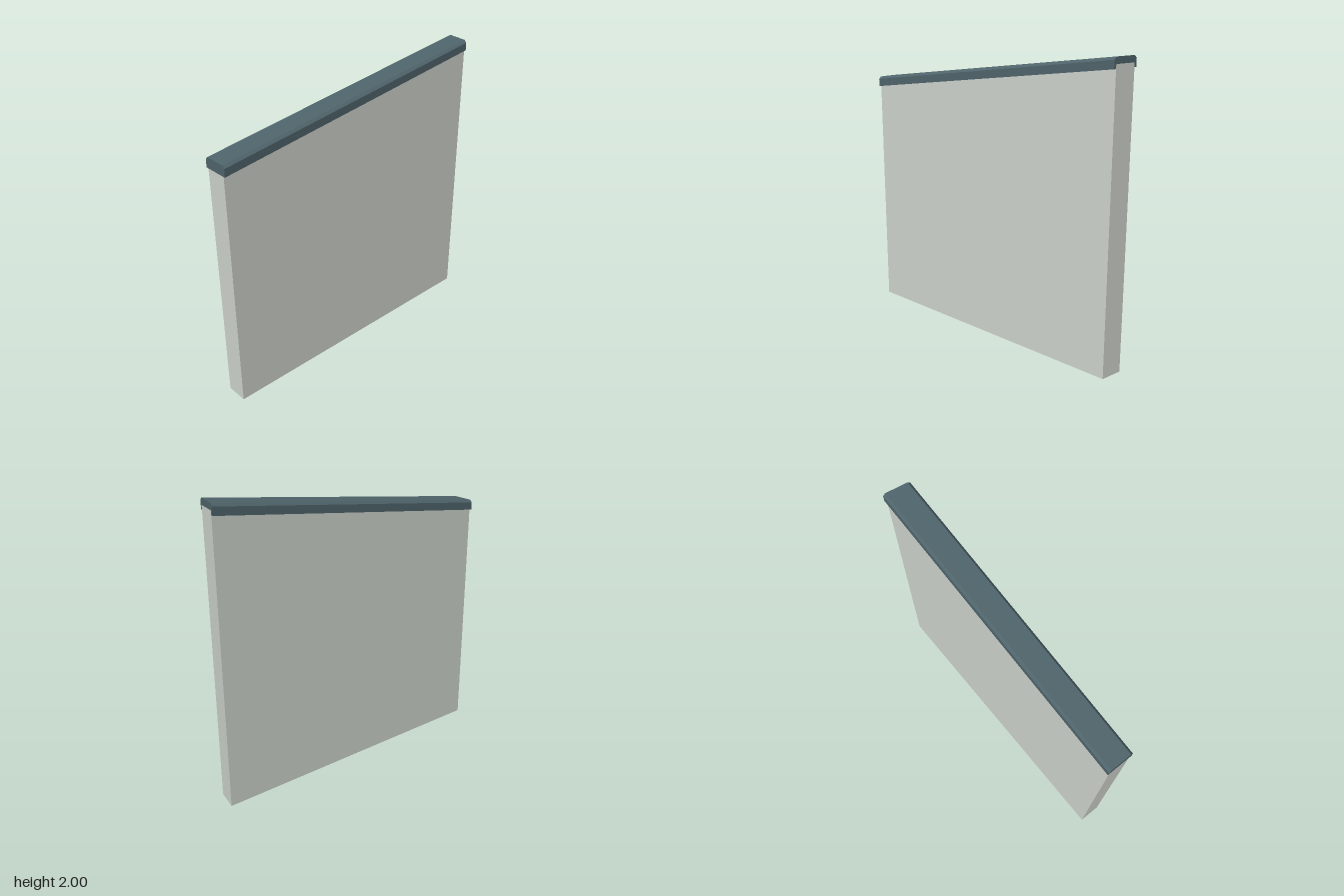
import * as THREE from 'three';

// Plan corners (x, z) of the coping: back end and front end, left edge to right edge
const BACK = [[0.392, -0.975], [0.543, -0.868]];
const FRONT = [[-0.543, 0.893], [-0.382, 0.975]];
const mix = THREE.MathUtils.lerp;
const topHeight = (t) => mix(2.0, 1.72, t);

// Extrude a section (u = 0..1 across, h = height) from t0 to t1 along the wall,
// then place every vertex on the skewed plan with the given height rule
function runAlongWall(name, section, t0, t1, heightAt, color) {
  const shape = new THREE.Shape(section.map(([u, h]) => new THREE.Vector2(u, h)));
  const geometry = new THREE.ExtrudeGeometry(shape, { depth: t1 - t0, bevelEnabled: false }).toNonIndexed?.() ;
  const p = geometry.attributes.position;
  for (let i = 0; i < p.count; i++) {
    const u = p.getX(i), h = p.getY(i), t = p.getZ(i) + t0;
    const at = (k) => mix(mix(BACK[0][k], BACK[1][k], u), mix(FRONT[0][k], FRONT[1][k], u), t);
    p.setXYZ(i, at(0), heightAt(h, t), at(1));
  }
  geometry.computeVertexNormals();
  const mesh = new THREE.Mesh(geometry, new THREE.MeshStandardMaterial({ color, flatShading: true }));
  mesh.name = name;
  return mesh;
}

export function createModel() {
  const group = new THREE.Group();
  group.name = 'copedWall';
  const wallColor = 0xcdd2cb, copingColor = 0x4f646b;
  const inset = 0.085, soffit = -0.042, drip = -0.07;

  // Wall panel: flat on the ground, sloping top just under the coping
  group.add(runAlongWall('wall',
    [[inset, 0], [1 - inset, 0], [1 - inset, 1], [inset, 1]], 0, 1,
    (h, t) => h * (topHeight(t) + soffit), wallColor));

  // Coping: chamfered top with a lip hanging over both faces of the wall
  const outer = [[1, drip], [1, -0.017], [0.91, 0], [0.09, 0], [0, -0.017], [0, drip]];
  const channel = [[inset, drip], [inset, soffit], [1 - inset, soffit], [1 - inset, drip]];
  const underTop = (h, t) => topHeight(t) + h;
  group.add(runAlongWall('coping', [...outer, ...channel], 0, 1, underTop, copingColor));

  // Thin closing plate on the low front end of the coping
  group.add(runAlongWall('copingEndPlate', outer, 1, 1.001, underTop, copingColor));
  return group;
}
